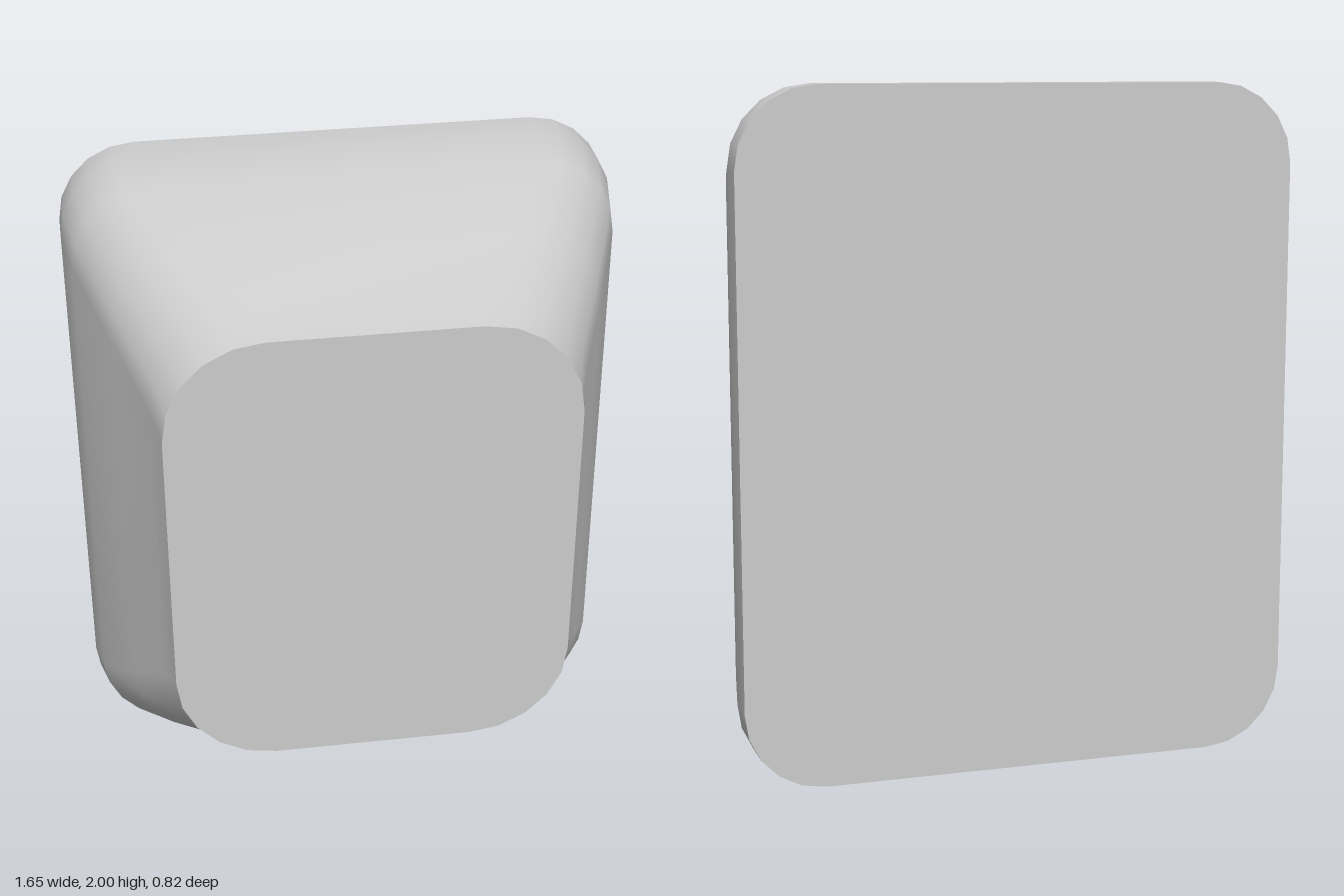
import * as THREE from 'three';

const CORNER_STEPS = 5;

// Cross-sections from back to front: z, half width, bottom, top, corner radius
const SECTIONS = [
  [-0.41, 0.825, 0.0, 2.0, 0.235],
  [-0.3, 0.825, 0.0, 2.0, 0.235],
  [-0.15, 0.8, 0.037, 1.975, 0.24],
  [0.1, 0.705, 0.167, 1.883, 0.265],
  [0.3, 0.623, 0.283, 1.8, 0.288],
  [0.41, 0.595, 0.325, 1.765, 0.295],
];

// Rounded rectangle outline, counter-clockwise seen from the front
function outline([, halfWidth, bottom, top, radius]) {
  const points = [];
  for (let corner = 0; corner < 4; corner++) {
    const cx = (corner === 0 || corner === 3 ? 1 : -1) * (halfWidth - radius);
    const cy = corner < 2 ? top - radius : bottom + radius;
    for (let i = 0; i <= CORNER_STEPS; i++) {
      const a = (corner + i / CORNER_STEPS) * Math.PI / 2;
      points.push(new THREE.Vector2(cx + radius * Math.cos(a), cy + radius * Math.sin(a)));
    }
  }
  return points;
}

// Smooth skin lofted through the sections
function loftGeometry() {
  const positions = [], indices = [];
  const n = 4 * (CORNER_STEPS + 1);
  SECTIONS.forEach((section, s) => {
    for (const p of outline(section)) positions.push(p.x, p.y, section[0]);
    if (s === 0) return;
    for (let i = 0; i < n; i++) {
      const j = (i + 1) % n;
      const a = (s - 1) * n + i, b = (s - 1) * n + j;
      const c = s * n + j, d = s * n + i;
      indices.push(a, b, c, a, c, d);
    }
  });
  const geometry = new THREE.BufferGeometry();
  geometry.setAttribute('position', new THREE.Float32BufferAttribute(positions, 3));
  geometry.setIndex(indices);
  geometry.computeVertexNormals();
  return geometry;
}

// Flat end face; the back one is turned to face -z
function cap(section, name, material, isBack) {
  const geometry = new THREE.ShapeGeometry(new THREE.Shape(outline(section)));
  if (isBack) geometry.rotateY(Math.PI);
  const mesh = new THREE.Mesh(geometry, material);
  mesh.name = name;
  mesh.position.z = section[0];
  return mesh;
}

export function createModel() {
  const group = new THREE.Group();
  group.name = 'taperedBlock';
  const grey = new THREE.MeshStandardMaterial({ color: 0xcccccc });
  grey.name = 'light grey';

  const sides = new THREE.Mesh(loftGeometry(), grey);
  sides.name = 'taperedSides';
  group.add(
    sides,
    cap(SECTIONS[0], 'backFace', grey, true),
    cap(SECTIONS[SECTIONS.length - 1], 'frontFace', grey, false),
  );
  return group;
}
